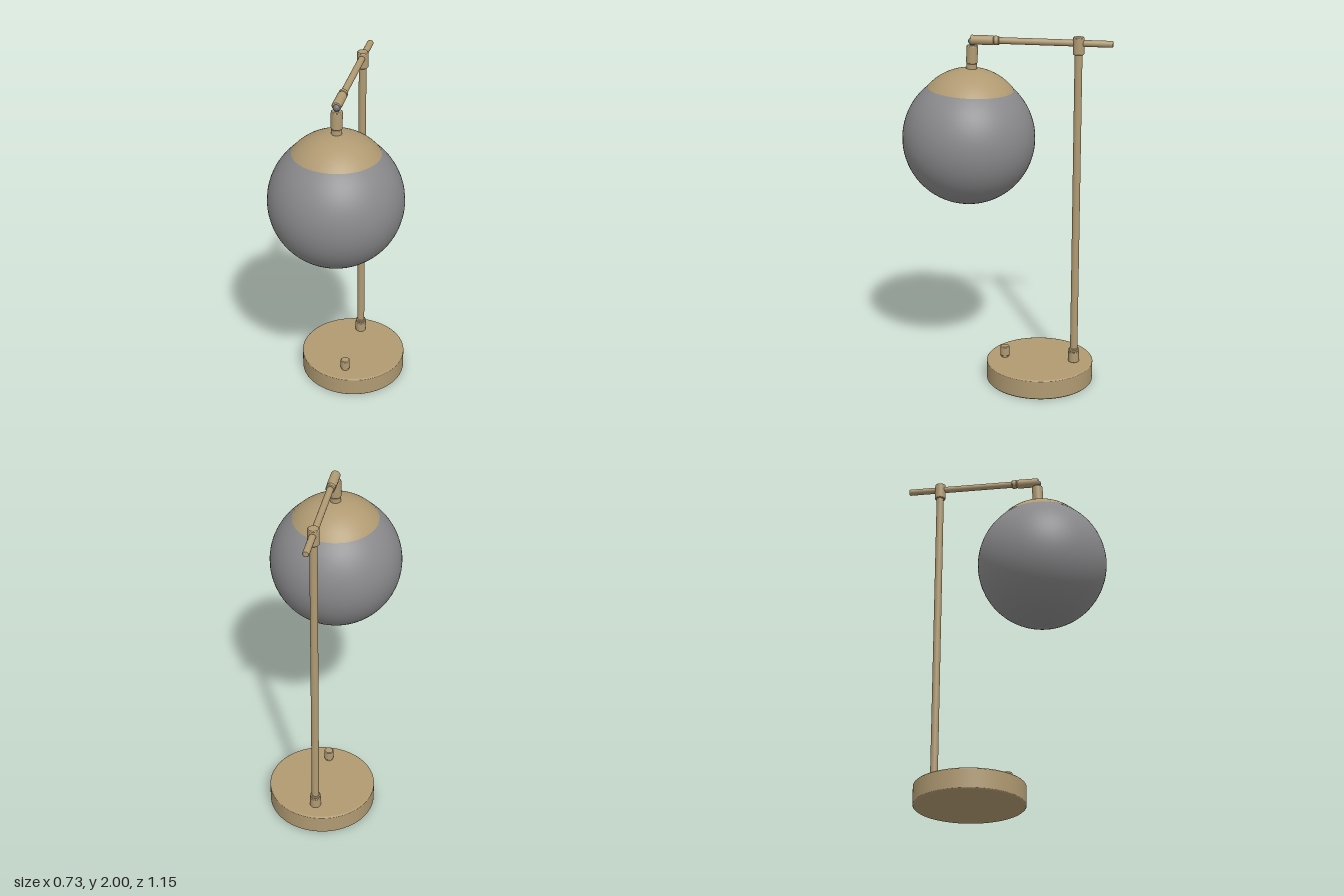
import * as THREE from 'three';

const brass = new THREE.MeshStandardMaterial({ name: 'brass', color: 0xb09a72 });
const smoke = new THREE.MeshStandardMaterial({ name: 'smokedGlass', color: 0x89898b });
const steel = new THREE.MeshStandardMaterial({ name: 'steel', color: 0x70757a });

function add(parent, name, geometry, material, x, y, z) {
  const mesh = new THREE.Mesh(geometry, material);
  mesh.name = name;
  mesh.position.set(x, y, z);
  parent.add(mesh);
  return mesh;
}

// Solid round bar from y = 0 to h with a small chamfer; each segment gets its own points for crisp edges
function bar(r, h, c = 0.004, sides = 40) {
  const outline = [[0, 0], [r - c, 0], [r, c], [r, h - c], [r - c, h], [0, h]];
  const points = [];
  outline.forEach(([a, b], i) => {
    if (i === 0 || i === outline.length - 1) return points.push(new THREE.Vector2(a, b));
    const prev = outline[i - 1], next = outline[i + 1], e = 0.02;
    points.push(new THREE.Vector2(a + (prev[0] - a) * e, b + (prev[1] - b) * e));
    points.push(new THREE.Vector2(a + (next[0] - a) * e, b + (next[1] - b) * e));
  });
  return new THREE.LatheGeometry(points, sides);
}

export function createModel() {
  const lamp = new THREE.Group();
  lamp.name = 'tableLamp';

  // Base with switch knob
  add(lamp, 'base', bar(0.304, 0.115, 0.005, 96), brass, 0, 0, -0.198);
  add(lamp, 'switchStem', bar(0.022, 0.02, 0.002), brass, 0, 0.11, 0.005);
  add(lamp, 'switchKnob', bar(0.027, 0.058), brass, 0, 0.123, 0.005);

  // Upright post with its collars
  const postZ = -0.395;
  add(lamp, 'postCollar', bar(0.031, 0.066), brass, 0, 0.113, postZ);
  add(lamp, 'postCollarRing', bar(0.029, 0.018), brass, 0, 0.178, postZ);
  add(lamp, 'post', bar(0.021, 1.76, 0.002), brass, 0, 0.17, postZ);
  add(lamp, 'postHead', bar(0.031, 0.095), brass, 0, 1.905, postZ);

  // Horizontal arm, laid along z
  const arm = new THREE.Group();
  arm.name = 'arm';
  arm.position.set(0, 1.967, 0);
  arm.rotation.x = Math.PI / 2;
  lamp.add(arm);
  add(arm, 'armRod', bar(0.018, 0.66, 0.003), brass, 0, -0.58, 0);
  add(arm, 'armRing', bar(0.025, 0.03), brass, 0, 0.035, 0);
  add(arm, 'armSleeve', bar(0.026, 0.126), brass, 0, 0.066, 0);

  // Hinge between arm and shade
  add(lamp, 'hingeBall', new THREE.SphereGeometry(0.02, 24, 16), steel, 0, 1.959, 0.186);

  // Shade assembly, tilted slightly about the globe centre
  const shade = new THREE.Group();
  shade.name = 'shade';
  shade.position.set(0, 1.417, 0.207);
  shade.rotation.x = -0.046;
  lamp.add(shade);
  add(shade, 'globe', new THREE.SphereGeometry(0.367, 64, 48), smoke, 0, 0, 0);

  // Domed cap over the top of the globe
  const capR = 0.309;
  add(shade, 'cap', new THREE.SphereGeometry(capR, 64, 16, 0, Math.PI * 2, 0, Math.asin(0.238 / capR)),
    brass, 0, 0.393 - capR, 0);
  add(shade, 'neckFoot', bar(0.029, 0.04), brass, 0, 0.383, 0);
  add(shade, 'neck', bar(0.031, 0.1), brass, 0, 0.42, 0);
  add(shade, 'hingePin', bar(0.012, 0.04, 0.002), steel, 0, 0.51, 0);

  return lamp;
}
